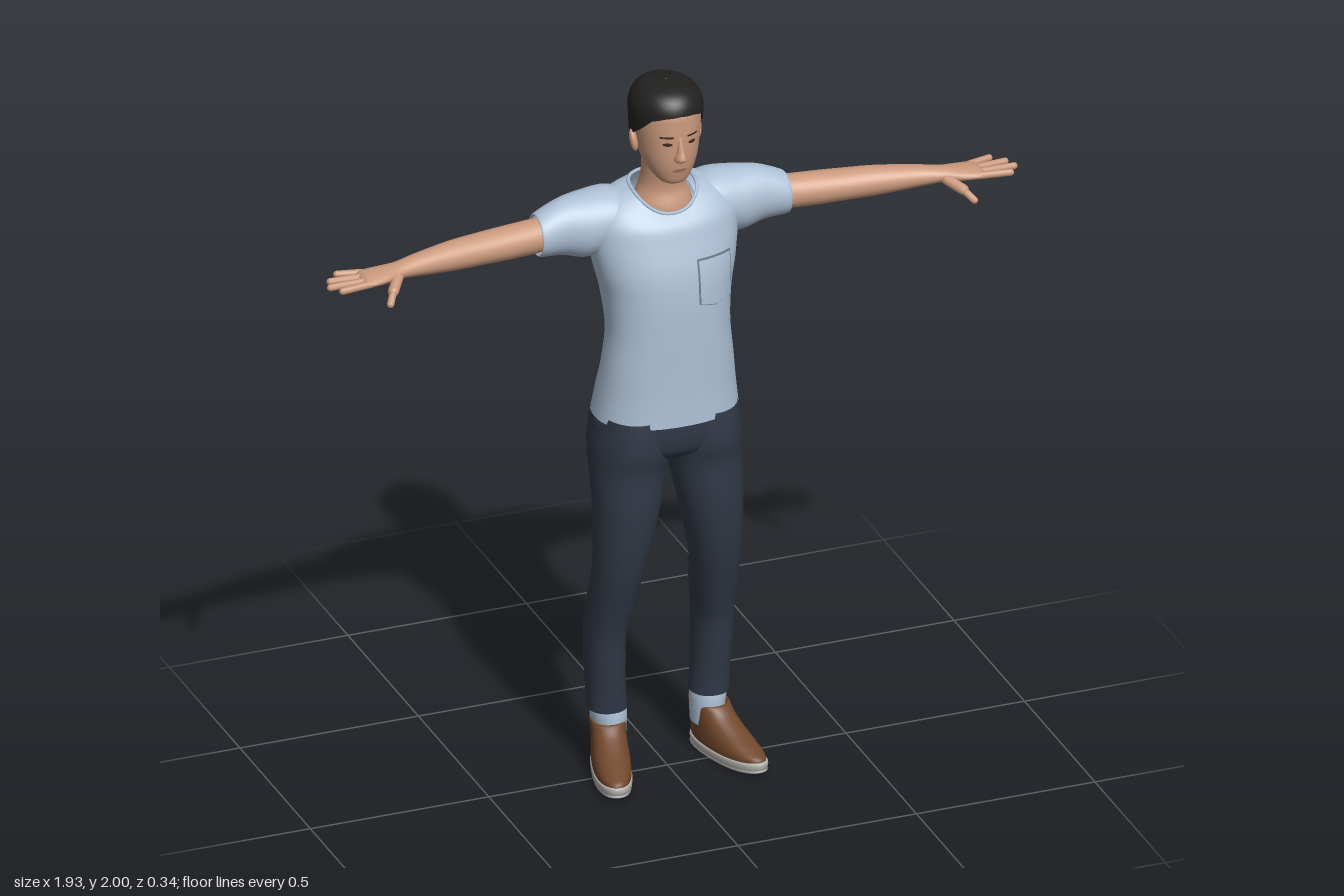
import * as THREE from 'three';
import { ParametricGeometry } from 'three/addons/geometries/ParametricGeometry.js';

const paint = (name, color) =>
  Object.assign(new THREE.MeshStandardMaterial({ color, side: THREE.DoubleSide }), { name });

// Smooth surface through elliptical rings [x, y, z, r1, r2, frontDrop], stacked along y or x.
// u runs round the ring (0 = front or top), t runs from the first ring to the last.
function skin(rings, axis = 'y', power = 2) {
  const last = rings.length - 1;
  const round = (c) => Math.sign(c) * Math.abs(c) ** (2 / power);
  return (u, t, out = new THREE.Vector3()) => {
    const f = THREE.MathUtils.clamp(t, 0, 1) * last;
    const i = Math.min(Math.floor(f), last - 1);
    const k = f - i;
    const at = (j, c) => rings[THREE.MathUtils.clamp(j, 0, last)][c] ?? 0;
    const mix = (c) => {
      const a = at(i - 1, c), b = at(i, c), d = at(i + 1, c), e = at(i + 2, c);
      return b + 0.5 * k * (d - a + k * (2 * a - 5 * b + 4 * d - e + k * (3 * (b - d) + e - a)));
    };
    const [x, y, z, r1, r2, drop] = [0, 1, 2, 3, 4, 5].map(mix);
    const c = Math.cos(u * 2 * Math.PI), s = Math.sin(u * 2 * Math.PI);
    if (axis === 'x') return out.set(x, y + r1 * round(c), z + r2 * round(s));
    return out.set(x + r1 * round(s), y - drop * (0.5 + 0.5 * c) ** 3, z + r2 * round(c));
  };
}

const surfaceGeo = (s, around = 40, along = 40) =>
  new ParametricGeometry((u, v, out) => s(u, v, out), around, along);

// Point of an upright surface at a given x and y, on its front or back
function locate(s, x, y, back) {
  const solve = (value, goal) => {
    let lo = 0, hi = 1;
    for (let i = 0; i < 24; i++) {
      const mid = (lo + hi) / 2;
      if (value(mid) < goal) lo = mid; else hi = mid;
    }
    return lo;
  };
  const t = solve((k) => s(0, k).y, y);
  const angle = (k) => (back ? 0.75 - 0.5 * k : -0.25 + 0.5 * k);
  return s(angle(solve((k) => s(angle(k), t).x, x)), t);
}

// Lay a flat geometry onto a surface as a thin patch
function drape(geo, s, cx, cy, lift, back = false) {
  const p = geo.attributes.position;
  for (let i = 0; i < p.count; i++) {
    const q = locate(s, cx + p.getX(i), cy + p.getY(i), back);
    p.setXYZ(i, q.x, q.y, q.z + (back ? -lift : lift));
  }
  geo.computeVertexNormals();
  return geo;
}

// Pocket outline: rectangle with a shallow point at the bottom
function pocketGeo(w, h) {
  const geo = new THREE.PlaneGeometry(w, h, 10, 10);
  const p = geo.attributes.position;
  for (let i = 0; i < p.count; i++) {
    const low = 0.5 - p.getY(i) / h;
    p.setY(i, p.getY(i) + low * 0.25 * Math.abs(p.getX(i)));
  }
  return geo;
}

export function createModel() {
  const model = new THREE.Group();
  model.name = 'standingMan';
  const flesh = paint('skin', 0xcb9a7e), hairBlack = paint('hair', 0x222120);
  const cloth = paint('shirt', 0xaec1d6), denim = paint('denim', 0x313946);
  const stitch = paint('shirt seam', 0x6c7a8c), denimSeam = paint('denim seam', 0x1b2028);
  const leather = paint('shoe leather', 0x70472b), rubber = paint('sole', 0xb5b3af);
  const eyeDark = paint('eye', 0x3a2a24), lip = paint('lips', 0xa86f5f);

  const add = (parent, name, geo, mat) => {
    const m = new THREE.Mesh(geo, mat);
    m.name = name;
    parent.add(m);
    return m;
  };

  // Shirt body with scooped neckline
  const torso = skin([
    [0, 1.045, -0.022, 0.196, 0.142], [0, 1.12, -0.014, 0.186, 0.132],
    [0, 1.2, -0.002, 0.176, 0.121], [0, 1.3, 0, 0.166, 0.121],
    [0, 1.4, -0.015, 0.174, 0.135], [0, 1.48, -0.027, 0.191, 0.138],
    [0, 1.56, -0.04, 0.203, 0.128], [0, 1.62, -0.044, 0.195, 0.118, 0.02],
    [0, 1.668, -0.04, 0.155, 0.096, 0.045], [0, 1.695, -0.035, 0.088, 0.08, 0.062],
  ], 'y', 2.3);
  add(model, 'shirtBody', surfaceGeo(torso, 64, 60), cloth);
  const neckline = Array.from({ length: 32 }, (_, i) => torso(i / 32, 1));
  add(model, 'collar', new THREE.TubeGeometry(new THREE.CatmullRomCurve3(neckline, true), 64, 0.005, 6, true), cloth);
  add(model, 'chestPocketSeam', drape(pocketGeo(0.106, 0.138), torso, 0.095, 1.448, 0.003), stitch);
  add(model, 'chestPocket', drape(pocketGeo(0.098, 0.13), torso, 0.095, 1.448, 0.007), cloth);

  // Hips
  add(model, 'hips', surfaceGeo(skin([
    [0, 0.91, -0.02, 0.02, 0.05], [0, 0.95, -0.02, 0.15, 0.112],
    [0, 1.0, -0.02, 0.197, 0.13], [0, 1.075, -0.015, 0.184, 0.128],
  ], 'y', 2.3), 48, 16), denim);

  // Neck and head
  add(model, 'neck', surfaceGeo(skin([
    [0, 1.59, -0.035, 0.085, 0.078], [0, 1.645, -0.037, 0.078, 0.075],
    [0, 1.69, -0.04, 0.061, 0.066], [0, 1.74, -0.032, 0.056, 0.064], [0, 1.8, -0.025, 0.06, 0.07],
  ]), 32, 20), flesh);
  const head = skin([
    [0, 1.724, 0.035, 0.004, 0.004], [0, 1.733, 0.034, 0.034, 0.036],
    [0, 1.76, 0.018, 0.057, 0.064], [0, 1.8, 0.002, 0.074, 0.088],
    [0, 1.85, -0.007, 0.083, 0.1], [0, 1.9, -0.01, 0.087, 0.103],
    [0, 1.94, -0.012, 0.084, 0.1], [0, 1.975, -0.012, 0.06, 0.07], [0, 1.988, -0.012, 0.003, 0.003],
  ], 'y', 2.15);
  add(model, 'head', surfaceGeo(head, 48, 48), flesh);
  add(model, 'nose', surfaceGeo(skin([
    [0, 1.802, 0.09, 0.003, 0.003], [0, 1.808, 0.09, 0.016, 0.018], [0, 1.818, 0.092, 0.016, 0.024],
    [0, 1.84, 0.089, 0.01, 0.018], [0, 1.878, 0.083, 0.007, 0.01],
  ]), 20, 20), flesh);
  add(model, 'mouth', drape(new THREE.CircleGeometry(0.02, 20).scale(1, 0.28, 1), head, 0, 1.777, 0.002), lip);

  // Hair, cut along a hairline from forehead to nape
  const hairShape = skin([
    [0, 1.74, -0.055, 0.062, 0.055], [0, 1.79, -0.045, 0.078, 0.07],
    [0, 1.84, -0.025, 0.09, 0.096], [0, 1.89, -0.015, 0.095, 0.109],
    [0, 1.94, -0.013, 0.096, 0.111], [0, 1.975, -0.013, 0.08, 0.094],
    [0, 1.994, -0.013, 0.05, 0.058], [0, 2.0, -0.013, 0.002, 0.002],
  ]);
  const hairline = [1.938, 1.934, 1.922, 1.885, 1.852, 1.8, 1.768, 1.756, 1.75];
  const hairEdge = (u) => {
    const f = (1 - Math.abs(1 - 2 * (u % 1))) * 8;
    const i = Math.min(Math.floor(f), 7);
    return (THREE.MathUtils.lerp(hairline[i], hairline[i + 1], f - i) - 1.74) / 0.35;
  };
  add(model, 'hair', surfaceGeo((u, v, out) => hairShape(u, THREE.MathUtils.lerp(hairEdge(u), 1, v), out), 64, 32), hairBlack);

  // Shared limb surfaces, built for the +x side
  const sleeve = skin([
    [0.08, 1.61, -0.06, 0.055, 0.075], [0.14, 1.603, -0.065, 0.081, 0.089],
    [0.215, 1.592, -0.064, 0.089, 0.083], [0.28, 1.597, -0.058, 0.076, 0.066],
    [0.345, 1.589, -0.05, 0.059, 0.056], [0.343, 1.589, -0.05, 0.05, 0.048],
  ], 'x');
  const arm = skin([
    [0.28, 1.59, -0.054, 0.046, 0.046], [0.42, 1.586, -0.045, 0.045, 0.048],
    [0.52, 1.586, -0.035, 0.042, 0.046], [0.6, 1.587, -0.024, 0.039, 0.042],
    [0.7, 1.589, -0.006, 0.029, 0.034], [0.76, 1.59, 0.008, 0.021, 0.031],
    [0.81, 1.59, 0.018, 0.018, 0.042], [0.855, 1.59, 0.023, 0.014, 0.045],
    [0.872, 1.59, 0.025, 0.003, 0.035],
  ], 'x');
  const leg = skin([
    [0.143, 0.17, -0.07, 0.053, 0.056], [0.146, 0.23, -0.07, 0.051, 0.061],
    [0.149, 0.31, -0.07, 0.052, 0.07], [0.15, 0.4, -0.065, 0.053, 0.075],
    [0.142, 0.5, -0.038, 0.06, 0.078], [0.135, 0.6, -0.008, 0.066, 0.079],
    [0.125, 0.7, 0.002, 0.077, 0.088], [0.115, 0.8, 0, 0.088, 0.1],
    [0.107, 0.9, -0.017, 0.098, 0.118], [0.102, 0.96, -0.022, 0.102, 0.133],
    [0.099, 1.01, -0.022, 0.099, 0.134], [0.095, 1.06, -0.018, 0.095, 0.126],
  ], 'y', 2.15);
  const digit = (parent, name, a, b, r) => {
    const from = new THREE.Vector3(...a), dir = new THREE.Vector3(...b).sub(from);
    const m = add(parent, name, new THREE.CapsuleGeometry(r, dir.length() - r, 4, 10), flesh);
    m.position.copy(from).addScaledVector(dir, 0.5);
    m.quaternion.setFromUnitVectors(new THREE.Vector3(0, 1, 0), dir.normalize());
  };

  for (const side of [1, -1]) {
    const half = new THREE.Group();
    half.name = side > 0 ? 'leftSide' : 'rightSide';
    half.scale.x = side;
    model.add(half);

    // Arm and hand
    add(half, 'sleeve', surfaceGeo(sleeve, 40, 30), cloth);
    add(half, 'arm', surfaceGeo(arm, 32, 40), flesh);
    [[-0.014, 0.918, -0.034], [0.011, 0.95, 0.0], [0.036, 0.962, 0.034], [0.057, 0.94, 0.066]].forEach(
      ([z0, x1, z1]) => digit(half, 'finger', [0.845, 1.59, z0], [x1, 1.588, z1], 0.0095));
    digit(half, 'thumbBase', [0.765, 1.586, 0.03], [0.802, 1.566, 0.083], 0.015);
    digit(half, 'thumbTip', [0.798, 1.568, 0.078], [0.82, 1.545, 0.11], 0.01);

    // Leg with back pocket
    add(half, 'trouserLeg', surfaceGeo(leg, 40, 60), denim);
    add(half, 'backPocketSeam', drape(pocketGeo(0.116, 0.118), leg, 0.108, 0.985, 0.004, true), denimSeam);
    add(half, 'backPocket', drape(pocketGeo(0.107, 0.109), leg, 0.108, 0.985, 0.008, true), denim);

    // Sock and shoe, toes turned outward
    add(half, 'sock', surfaceGeo(skin([
      [0.137, 0.08, -0.068, 0.043, 0.054], [0.138, 0.13, -0.068, 0.046, 0.056],
      [0.14, 0.165, -0.068, 0.048, 0.054], [0.142, 0.2, -0.068, 0.042, 0.046],
    ]), 28, 12), cloth);
    const foot = new THREE.Group();
    foot.name = 'foot';
    foot.position.set(0.141, 0, -0.07);
    foot.rotation.y = 0.26;
    half.add(foot);
    add(foot, 'sole', surfaceGeo(skin([
      [0, 0.001, 0.09, 0.002, 0.002], [0, 0.001, 0.09, 0.044, 0.138, -0.012],
      [0, 0.012, 0.092, 0.05, 0.15, -0.014], [0, 0.03, 0.092, 0.051, 0.151, -0.012],
      [0, 0.034, 0.092, 0.04, 0.14, -0.012],
    ], 'y', 2.3), 40, 20), rubber);
    add(foot, 'shoeUpper', surfaceGeo(skin([
      [0, 0.025, 0.092, 0.048, 0.147, -0.012], [0, 0.045, 0.088, 0.05, 0.145, -0.008],
      [0, 0.068, 0.07, 0.049, 0.127], [0, 0.09, 0.042, 0.047, 0.1],
      [0, 0.115, 0.018, 0.046, 0.076], [0, 0.138, 0.004, 0.047, 0.06],
      [0, 0.136, 0.004, 0.04, 0.052],
    ], 'y', 2.2), 40, 30), leather);

    // Face details
    const ear = add(half, 'ear', new THREE.SphereGeometry(1, 16, 12), flesh);
    ear.scale.set(0.011, 0.032, 0.018);
    ear.position.set(0.088, 1.835, -0.018);
    ear.rotation.set(-0.15, 0.3, -0.12);
    add(half, 'eye', drape(new THREE.CircleGeometry(0.012, 16).scale(1, 0.4, 1), head, 0.034, 1.858, 0.002), eyeDark);
    add(half, 'eyebrow', drape(new THREE.PlaneGeometry(0.034, 0.005, 6, 1), head, 0.036, 1.878, 0.002), eyeDark);
  }
  return model;
}
